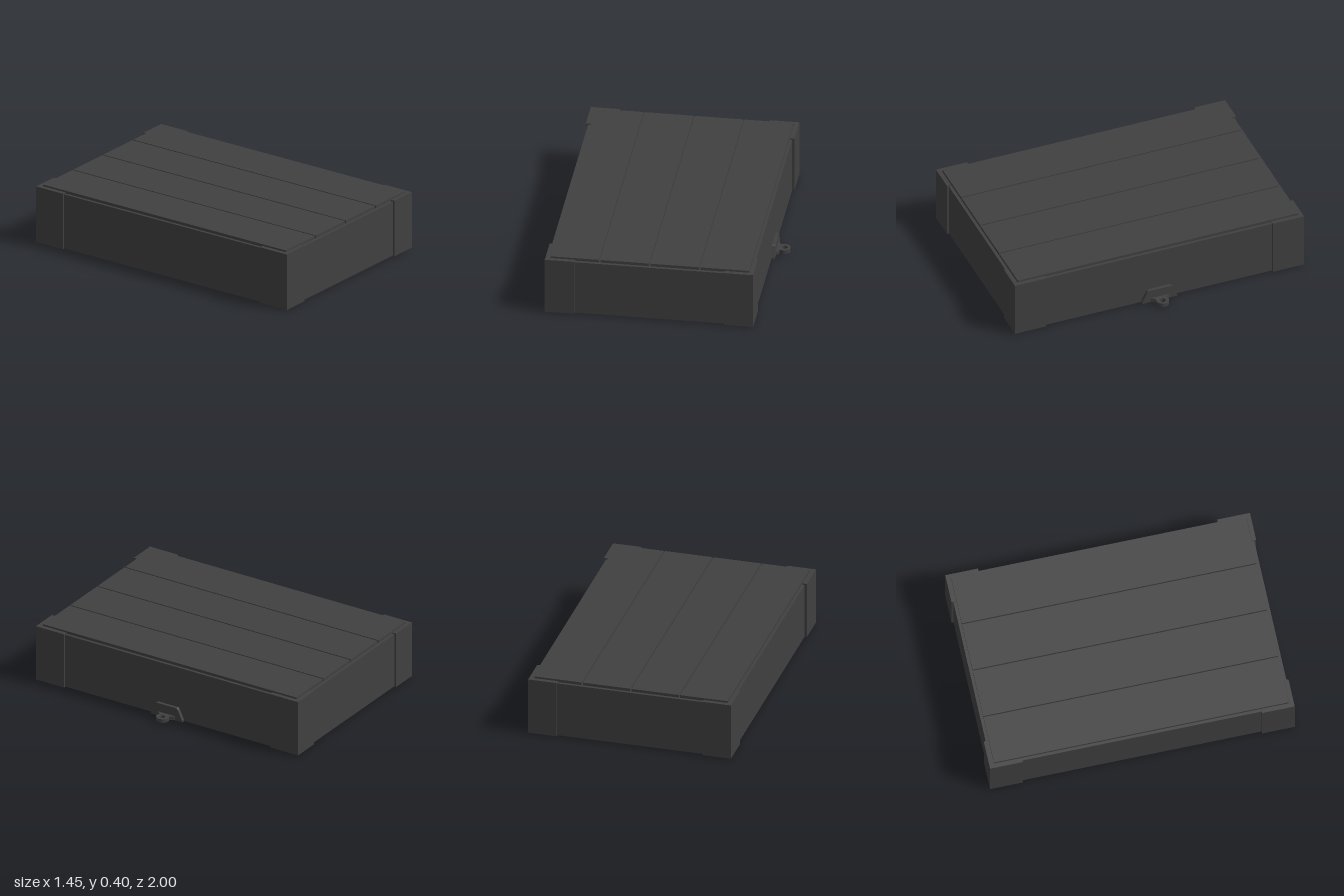
import * as THREE from 'three';

const CX = -0.048; // middle of the box, which is offset by the latch

export function createModel() {
  const model = new THREE.Group();
  const dark = new THREE.MeshStandardMaterial({ color: 0x404040, flatShading: true });

  const add = (name, geometry, x = 0, y = 0, z = 0) => {
    const mesh = new THREE.Mesh(geometry, dark);
    mesh.name = name;
    mesh.position.set(x, y, z);
    model.add(mesh);
    return mesh;
  };
  const polygon = (points) => new THREE.Shape(points.map(([x, y]) => new THREE.Vector2(x, y)));
  const extrude = (shape, depth) =>
    new THREE.ExtrudeGeometry(shape, { depth, bevelEnabled: false, curveSegments: 6 });
  // Plan outline (x, z) raised upwards
  const raise = (shape, height) => extrude(shape, height).rotateX(-Math.PI / 2);
  const rect = (w, d) => [[-w, -d], [w, -d], [w, d], [-w, d]];
  const ring = (w, d, iw, id, height) => {
    const shape = polygon(rect(w, d));
    shape.holes.push(polygon(rect(iw, id)));
    return raise(shape, height);
  };

  // Four walls and the slightly inset lower rim
  add('walls', ring(0.662, 0.987, 0.58, 0.905, 0.372), CX, 0.008, 0);
  add('lowerRim', ring(0.648, 0.967, 0.58, 0.905, 0.008), CX, 0, 0);

  // Inner ceiling panel
  add('ceiling', new THREE.BoxGeometry(1.16, 0.06, 1.81), CX, 0.348, 0);

  // Four top planks with narrow gaps
  const pitch = 1.296 / 4;
  for (let i = 0; i < 4; i++) {
    add('topPlank', new THREE.BoxGeometry(pitch - 0.009, 0.021, 1.934),
      CX + (i - 1.5) * pitch, 0.3885, 0);
  }

  // L-shaped corner guards
  const t = 0.029;
  for (const sx of [-1, 1]) {
    for (const sz of [-1, 1]) {
      const X = 0.676, Z = 1;
      const points = [
        [X, Z], [X - 0.19, Z], [X - 0.19, Z - t],
        [X - t, Z - t], [X - t, Z - 0.215], [X, Z - 0.215],
      ].map(([x, z]) => [x * sx, z * sz]);
      add('cornerGuard', raise(polygon(points), 0.383), CX, 0.006, 0);
    }
  }

  // Latch plate on the side wall
  const plate = polygon([
    [-0.12, 0.006], [0.12, 0.006], [0.12, 0.02], [0.087, 0.088], [0.077, 0.096],
    [-0.077, 0.096], [-0.087, 0.088], [-0.12, 0.02],
  ]);
  add('latchPlate', extrude(plate, 0.025).rotateY(Math.PI / 2), 0.61, 0, 0);

  // Flared latch tab ending in an eye
  const tab = new THREE.Shape();
  tab.moveTo(0.625, -0.066);
  tab.lineTo(0.638, -0.066);
  tab.lineTo(0.655, -0.035);
  tab.absarc(0.68, 0, 0.042, -Math.PI * 0.62, Math.PI * 0.62, false);
  tab.lineTo(0.655, 0.035);
  tab.lineTo(0.638, 0.066);
  tab.lineTo(0.625, 0.066);
  const eye = new THREE.Path();
  eye.absarc(0.683, 0, 0.02, 0, Math.PI * 2, true);
  tab.holes.push(eye);
  add('latchTab', raise(tab, 0.026), 0, 0.01, 0);

  return model;
}
